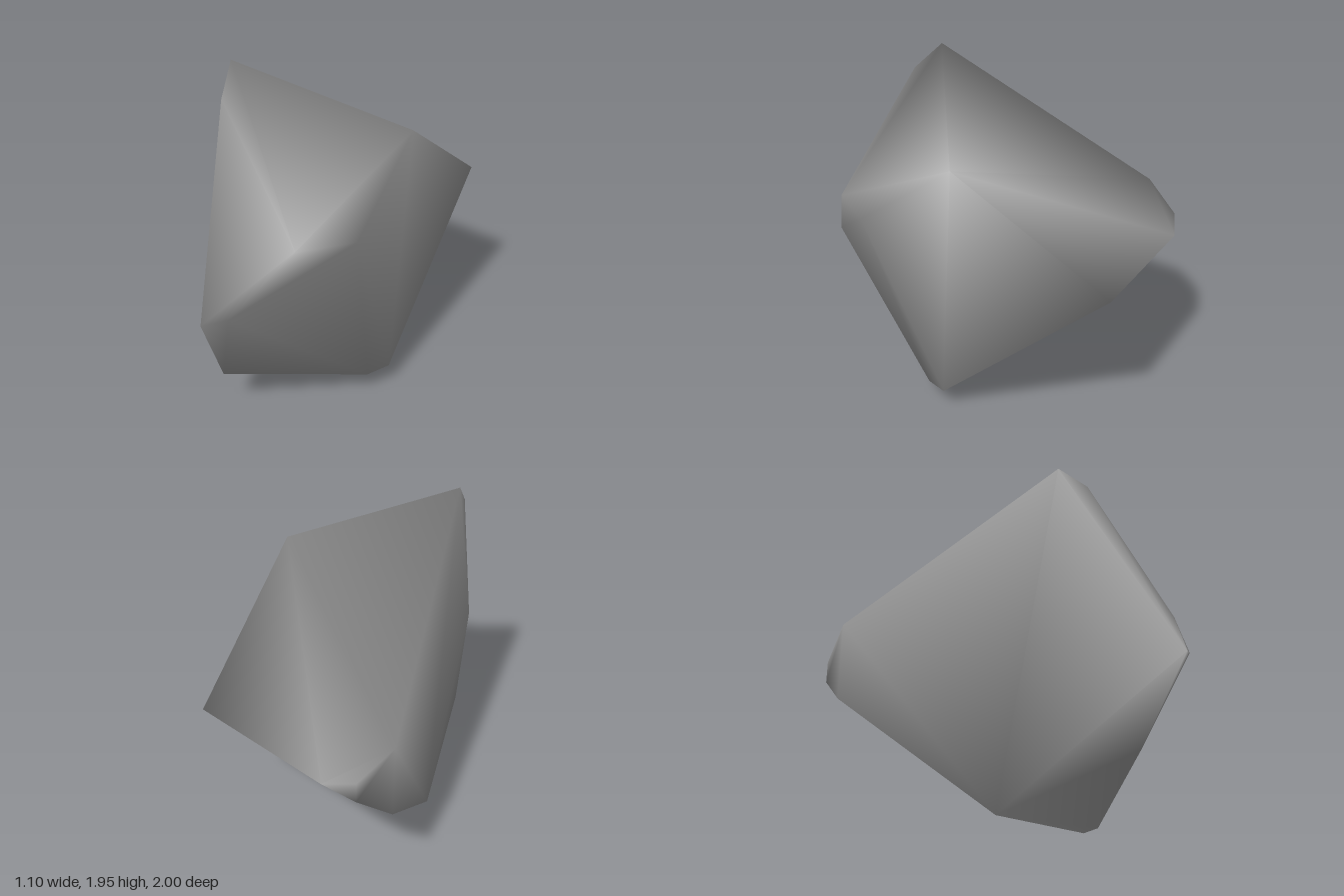
import * as THREE from 'three';
import { ConvexGeometry } from 'three/addons/geometries/ConvexGeometry.js';
import { mergeVertices } from 'three/addons/utils/BufferGeometryUtils.js';

// corners of the flat side, as [z, y]
const FLAT_X = -0.55;
const flatSide = [
  [0.37, 1.95], [0.53, 1.8], [1, 0.75], [0.75, 0.26],
  [0.03, 0], [-0.85, 0.72], [-0.85, 1.16],
];

// corners of the bulging side, as [x, y, z]
const bulge = [
  [0.36, 1.59, 0.2], [0.55, 0.98, -0.65], // upper and outer ridge
  [0.2, 1.2, 0.72], [-0.07, 1.2, 0.89], [-0.4, 0.81, 0.995], // front
  [0.27, 0.13, 0.28], [0.17, 0.12, 0.38], // underside
  [-0.4, 1.02, -1], [-0.4, 0.9, -1], [-0.22, 0.97, -1], // back tip
];

export function createModel() {
  const stone = new THREE.MeshStandardMaterial({ color: 0x8c8c8c });
  stone.name = 'stone grey';

  const points = [
    ...flatSide.map(([z, y]) => new THREE.Vector3(FLAT_X, y, z)),
    ...bulge.map((p) => new THREE.Vector3(...p)),
  ];

  // weld the hull so the shading runs smoothly over its edges
  const hull = new ConvexGeometry(points);
  hull.deleteAttribute('normal');
  const geometry = mergeVertices(hull, 1e-4);
  geometry.computeVertexNormals();

  const rock = new THREE.Mesh(geometry, stone);
  rock.name = 'rock';

  const model = new THREE.Group();
  model.name = 'rockChunk';
  model.add(rock);
  return model;
}
